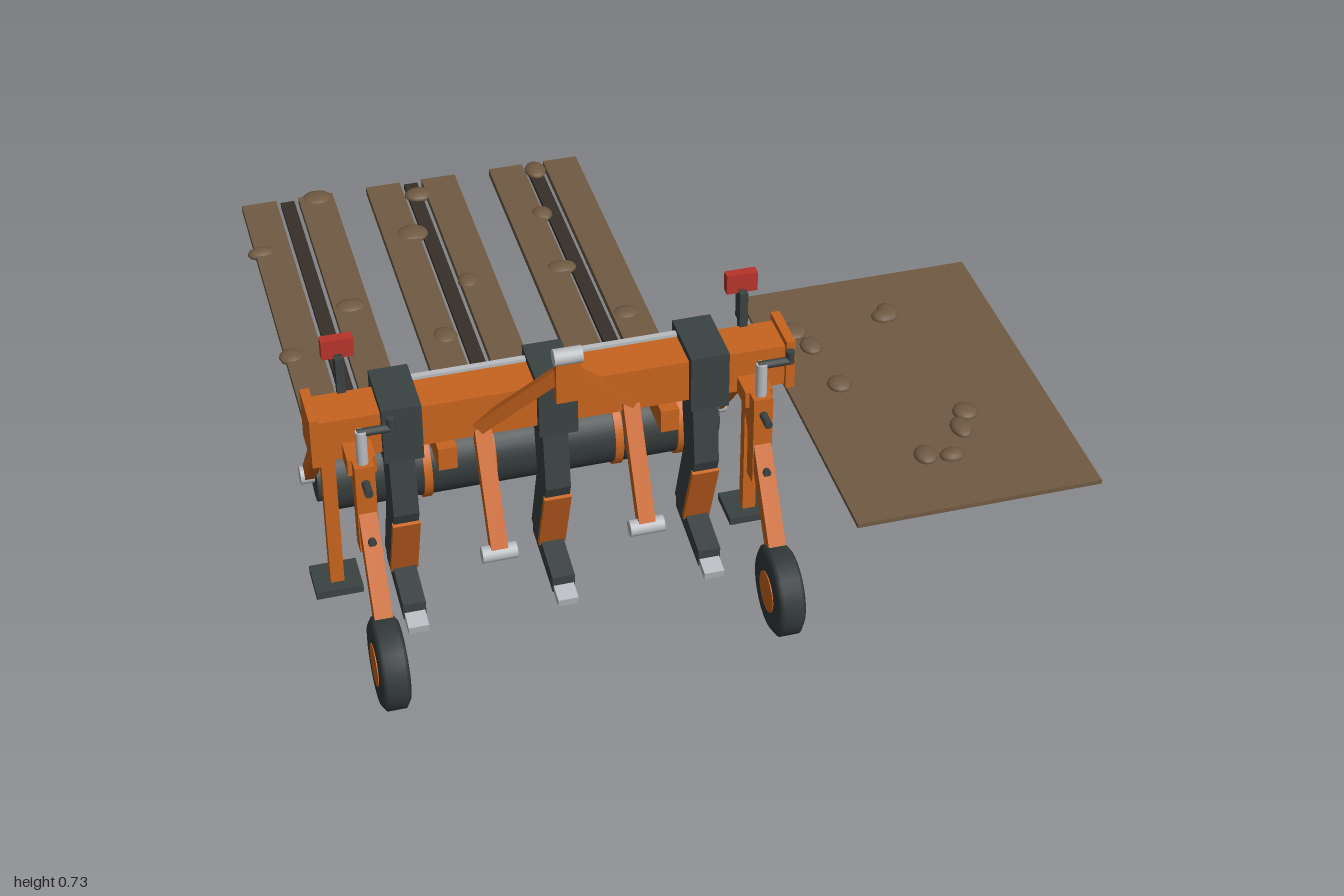
import * as THREE from 'three';

const mat = (name, color) => {
  const m = new THREE.MeshStandardMaterial({ color });
  m.name = name;
  return m;
};

export function createModel() {
  const orange = mat('orange paint', 0xc8641f);
  const grey = mat('dark grey steel', 0x3b4242);
  const rubber = mat('tyre rubber', 0x343a3b);
  const steel = mat('bare steel', 0xb9bcc0);
  const red = mat('lamp red', 0xb8342a);
  const soil = mat('soil', 0x705a43);
  const furrowDark = mat('furrow bottom', 0x372f28);

  const model = new THREE.Group();
  const cx = -0.38; // centre line of the machine
  const add = (name, geo, material, x, y, z) => {
    const m = new THREE.Mesh(geo, material);
    m.name = name;
    m.position.set(x, y, z);
    model.add(m);
    return m;
  };
  // box given by its low and high limits on each axis
  const box = (name, material, x0, x1, y0, y1, z0, z1) =>
    add(name, new THREE.BoxGeometry(x1 - x0, y1 - y0, z1 - z0), material,
      (x0 + x1) / 2, (y0 + y1) / 2, (z0 + z1) / 2);
  // rectangular bar between two points
  const bar = (name, material, a, b, w, h) => {
    const p = new THREE.Vector3(...a), q = new THREE.Vector3(...b);
    const m = add(name, new THREE.BoxGeometry(w, h, p.distanceTo(q)), material,
      ...p.clone().add(q).multiplyScalar(0.5).toArray());
    m.lookAt(q);
    return m;
  };
  // cylinder along one axis
  const rod = (name, material, r, len, axis, x, y, z, sides = 20) => {
    const g = new THREE.CylinderGeometry(r, r, len, sides);
    if (axis === 'x') g.rotateZ(Math.PI / 2);
    if (axis === 'z') g.rotateX(Math.PI / 2);
    return add(name, g, material, x, y, z);
  };
  // outline in (z, y), extruded across x
  const sidePlate = (name, material, points, width, x) => {
    const s = new THREE.Shape(points.map(([z, y]) => new THREE.Vector2(-z, y)));
    const g = new THREE.ExtrudeGeometry(s, { depth: width, bevelEnabled: false });
    g.translate(0, 0, -width / 2).rotateY(Math.PI / 2);
    return add(name, g, material, x, 0, 0);
  };

  // main beam
  box('beam', orange, cx - 0.51, cx + 0.51, 0.46, 0.56, 0.565, 0.66);
  box('beamRail', steel, cx - 0.33, cx + 0.33, 0.515, 0.567, 0.553, 0.567);
  for (const s of [-1, 1]) {
    box('beamEndPlate', orange, cx + s * 0.51 - 0.01, cx + s * 0.51 + 0.01, 0.455, 0.575, 0.555, 0.67);
    box('beamLug', orange, cx + s * 0.24 - 0.02, cx + s * 0.24 + 0.02, 0.405, 0.46, 0.53, 0.685);
  }

  // three tines
  for (const x of [-0.71, -0.38, -0.05]) {
    box('tineClamp', grey, x - 0.042, x + 0.042, 0.44, 0.577, 0.53, 0.677);
    sidePlate('tineShank', grey,
      [[0.64, 0.45], [0.66, 0.28], [0.575, 0.06], [0.51, 0.08], [0.58, 0.28], [0.55, 0.45]], 0.055, x);
    bar('shinGuard', orange, [x, 0.25, 0.65], [x, 0.07, 0.582], 0.06, 0.012);
    sidePlate('tineFoot', grey,
      [[0.51, 0.085], [0.51, 0.045], [0.69, 0.018], [0.69, 0.058], [0.58, 0.082]], 0.05, x);
    bar('tineTip', steel, [x, 0.035, 0.64], [x, 0.018, 0.73], 0.045, 0.02);
  }

  // top hitch
  box('topHitchPlate', orange, cx - 0.027, cx + 0.027, 0.6, 0.71, 0.752, 0.776);
  rod('topHitchPin', steel, 0.018, 0.06, 'x', cx, 0.71, 0.765);
  for (const s of [-1, 1]) {
    bar('hitchBrace', orange, [cx + s * 0.165, 0.48, 0.655], [cx + s * 0.012, 0.665, 0.758], 0.028, 0.028);
    // lower hitch arm
    bar('lowerHitchArm', orange, [cx + s * 0.16, 0.475, 0.655], [cx + s * 0.16, 0.245, 0.785], 0.036, 0.03);
    rod('lowerHitchPin', steel, 0.018, 0.075, 'x', cx + s * 0.16, 0.243, 0.785);
  }

  const tyre = [[0.045, -0.03], [0.085, -0.03], [0.1, -0.02], [0.1, 0.02], [0.085, 0.03], [0.045, 0.03]];
  for (const s of [-1, 1]) {
    // gauge wheel and its height adjuster
    const x = cx + s * 0.425;
    const g = new THREE.LatheGeometry(tyre.map(p => new THREE.Vector2(...p)), 28);
    g.rotateZ(Math.PI / 2);
    add('gaugeWheelTyre', g, rubber, x, 0.1, 0.9);
    rod('gaugeWheelHub', orange, 0.046, 0.064, 'x', x, 0.1, 0.9, 24);
    bar('wheelArm', orange, [x, 0.46, 0.68], [x, 0.16, 0.875], 0.038, 0.035);
    box('adjusterTube', orange, x - 0.021, x + 0.021, 0.28, 0.5, 0.713, 0.752);
    box('adjusterBracket', orange, x - 0.03, x + 0.03, 0.46, 0.5, 0.655, 0.72);
    rod('adjusterRod', steel, 0.012, 0.09, 'y', x, 0.535, 0.732);
    rod('crankHandle', grey, 0.009, 0.075, 'x', x + 0.03, 0.575, 0.73, 12);
    rod('crankGrip', grey, 0.009, 0.03, 'y', x + 0.063, 0.585, 0.73, 12);
    for (const y of [0.46, 0.33]) rod('adjusterPin', grey, 0.009, 0.05, 'z', x, y, 0.765, 12);

    // warning lamp
    const lx = cx + s * 0.435;
    box('lampPost', grey, lx - 0.009, lx + 0.009, 0.55, 0.645, 0.553, 0.571);
    box('lampPost', grey, lx - 0.009, lx + 0.009, 0.57, 0.65, 0.538, 0.556);
    box('warningLamp', red, lx - 0.034, lx + 0.034, 0.64, 0.686, 0.534, 0.556);

    // parking stand
    const px = cx + s * 0.47;
    box('standLeg', orange, px - 0.015, px + 0.015, 0.015, 0.47, 0.507, 0.533);
    box('standBracket', orange, px - 0.02, px + 0.02, 0.46, 0.48, 0.507, 0.57);
    box('standFoot', grey, px - 0.052, px + 0.052, 0.002, 0.02, 0.465, 0.56);

    // roller arm
    const ax = cx + s * 0.477;
    bar('rollerArm', orange, [ax, 0.5, 0.585], [ax, 0.09, 0.235], 0.026, 0.034);
    rod('rollerAxle', steel, 0.021, 0.05, 'x', cx + s * 0.474, 0.097, 0.243);
    rod('rollerEnd', grey, 0.065, 0.02, 'x', cx + s * 0.458, 0.097, 0.243, 28);
  }

  // packer roller
  rod('rollerDrum', rubber, 0.09, 0.9, 'x', cx, 0.097, 0.243, 32);
  for (let i = 0; i < 6; i++)
    rod('rollerRing', orange, 0.096, 0.019, 'x', cx - 0.37 + i * 0.148, 0.097, 0.243, 32);
  rod('scraperBar', grey, 0.011, 0.9, 'x', cx, 0.163, 0.145, 12);

  // worked soil: three furrows and a flat patch
  for (const x of [-0.707, -0.379, -0.048]) {
    for (const s of [-1, 1])
      box('soilRidge', soil, x + s * 0.074 - 0.045, x + s * 0.074 + 0.045, 0.01, 0.03, -0.975, 0.03);
    box('furrowBottom', furrowDark, x - 0.018, x + 0.018, 0.01, 0.022, -0.975, 0.03);
  }
  box('soilPatch', soil, 0.31, 0.9, 0.005, 0.016, -0.255, 0.65);

  // clods: x, z, half width, half depth
  const clod = (y) => ([x, z, a, b]) =>
    add('clod', new THREE.SphereGeometry(1, 14, 8), soil, x, y, z).scale.set(a, 0.014, b);
  [[-0.81, -0.755, 0.036, 0.024], [-0.63, -0.965, 0.04, 0.035], [-0.635, -0.465, 0.042, 0.031],
    [-0.81, -0.3, 0.031, 0.031], [-0.672, -0.066, 0.042, 0.027], [-0.37, -0.914, 0.037, 0.03],
    [-0.423, -0.74, 0.042, 0.038], [-0.33, -0.495, 0.026, 0.033], [-0.435, -0.283, 0.031, 0.036],
    [-0.26, -0.003, 0.043, 0.037], [-0.047, -0.946, 0.028, 0.038], [-0.08, -0.74, 0.028, 0.031],
    [-0.09, -0.49, 0.039, 0.029], [0.016, -0.257, 0.034, 0.03], [0.068, -0.018, 0.042, 0.024]].forEach(clod(0.024));
  [[0.39, -0.08, 0.037, 0.035], [0.417, -0.013, 0.027, 0.034], [0.435, 0.15, 0.03, 0.031],
    [0.628, -0.083, 0.031, 0.026], [0.642, -0.095, 0.026, 0.035], [0.687, 0.33, 0.031, 0.031],
    [0.656, 0.385, 0.025, 0.038], [0.54, 0.46, 0.027, 0.033], [0.6, 0.475, 0.03, 0.023]].forEach(clod(0.019));

  return model;
}
